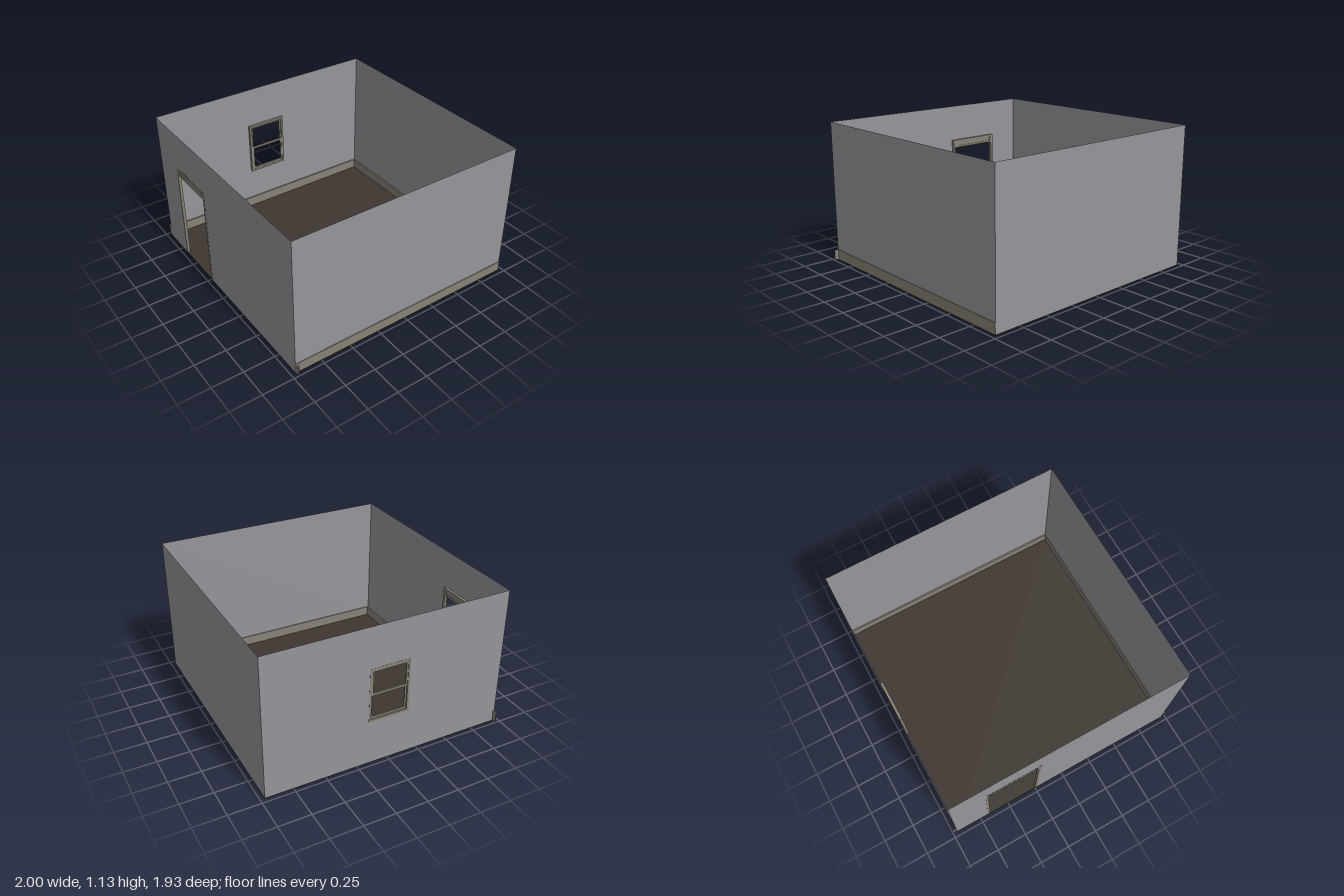
import * as THREE from 'three';

const H = 0.965;      // half width of the room
const BASE = 0.005;   // floor surface
const TOP = 1.13;     // wall top

const wallPaint = new THREE.MeshStandardMaterial({ color: 0x96959a, side: THREE.DoubleSide });
wallPaint.name = 'wall grey';
const trimPaint = new THREE.MeshStandardMaterial({ color: 0x878275 });
trimPaint.name = 'trim taupe';
const floorPaint = new THREE.MeshStandardMaterial({ color: 0x3e362f });
floorPaint.name = 'floor brown';

function add(parent, name, geometry, material) {
  const mesh = new THREE.Mesh(geometry, material);
  mesh.name = name;
  parent.add(mesh);
  return mesh;
}

// Box given by its limits
function box(parent, name, material, x0, x1, y0, y1, z0, z1) {
  const mesh = add(parent, name, new THREE.BoxGeometry(x1 - x0, y1 - y0, z1 - z0), material);
  mesh.position.set((x0 + x1) / 2, (y0 + y1) / 2, (z0 + z1) / 2);
  return mesh;
}

function polygon(points, Type = THREE.Shape) {
  return new Type(points.map(([x, y]) => new THREE.Vector2(x, y)));
}

const rect = (x0, x1, y0, y1) => [[x0, y0], [x1, y0], [x1, y1], [x0, y1]];

// Flat plate with one opening, from z0 to z1
function framePlate(parent, name, outer, inner, z0, z1) {
  const shape = polygon(outer);
  shape.holes.push(polygon(inner, THREE.Path));
  const geometry = new THREE.ExtrudeGeometry(shape, { depth: z1 - z0, bevelEnabled: false });
  add(parent, name, geometry, trimPaint).position.z = z0;
}

// One side of the room: a thin wall facing local +z, turned into place
function side(name, angle, outline, hole) {
  const group = new THREE.Group();
  group.name = name;
  group.rotation.y = angle;
  const shape = polygon(outline);
  if (hole) shape.holes.push(polygon(hole, THREE.Path));
  add(group, name + 'Panel', new THREE.ShapeGeometry(shape), wallPaint).position.z = H;
  return group;
}

// Baseboard with a slightly thicker cap
function baseboard(group, x0, x1, outer) {
  box(group, 'baseboardBody', trimPaint, x0, x1, BASE, 0.07, outer - 0.009, outer - 0.002);
  box(group, 'baseboardCap', trimPaint, x0, x1, 0.07, 0.088, outer - 0.012, outer);
}

export function createModel() {
  const room = new THREE.Group();
  room.name = 'room';

  box(room, 'floor', floorPaint, -H, H, 0, BASE, -H, H);

  // Front wall with a doorway notch
  const [dx0, dx1, dTop] = [-0.685, -0.23, 0.83];
  const front = side('frontWall', 0, [
    [-H, BASE], [dx0, BASE], [dx0, dTop], [dx1, dTop], [dx1, BASE], [H, BASE], [H, TOP], [-H, TOP],
  ]);
  baseboard(front, -1, dx0, H - 0.001);
  baseboard(front, dx1, 1, H - 0.001);

  // Door frame: two jambs and a header with a recessed tapered panel
  const doorFrame = new THREE.Group();
  doorFrame.name = 'doorFrame';
  const [zIn, zOut] = [0.943, 0.966];
  box(doorFrame, 'doorJamb', trimPaint, dx0, dx0 + 0.021, 0, 0.762, zIn, zOut);
  box(doorFrame, 'doorJamb', trimPaint, dx1 - 0.021, dx1, 0, 0.762, zIn, zOut);
  framePlate(doorFrame, 'doorHeader', rect(dx0, dx1, 0.762, dTop),
    [[-0.643, 0.777], [-0.272, 0.777], [-0.258, 0.815], [-0.657, 0.815]], zIn, zOut);
  box(doorFrame, 'doorHeaderPanel', trimPaint, -0.66, -0.255, 0.774, 0.818, zIn + 0.006, zOut - 0.008);
  front.add(doorFrame);
  room.add(front);

  const full = rect(-H, H, BASE, TOP);

  // Right-hand wall, whose baseboard stands just proud outside
  const sideWall = side('plainSideWall', Math.PI / 2, full);
  baseboard(sideWall, -H, H, H + 0.005);
  room.add(sideWall);

  const back = side('backWall', Math.PI, full);
  baseboard(back, -H, H, H - 0.001);
  room.add(back);

  // Wall with a two-sash window
  const [w, y0, y1, mid] = [0.163, 0.36, 0.8, 0.585];
  const opening = rect(-w, w, y0, y1);
  const windowWall = side('windowWall', -Math.PI / 2, full, opening);
  baseboard(windowWall, -H, H, H - 0.001);
  const win = new THREE.Group();
  win.name = 'window';
  framePlate(win, 'windowFrame', opening, rect(-w + 0.018, w - 0.018, y0 + 0.018, y1 - 0.018), zIn, zOut);
  const sash = (name, a, b, z0, z1) => framePlate(win, name,
    rect(-w + 0.016, w - 0.016, a, b), rect(-w + 0.032, w - 0.032, a + 0.02, b - 0.016), z0, z1);
  sash('upperSash', mid - 0.012, y1 - 0.016, 0.954, 0.962);
  sash('lowerSash', y0 + 0.016, mid + 0.012, 0.946, 0.954);
  windowWall.add(win);
  room.add(windowWall);

  return room;
}
